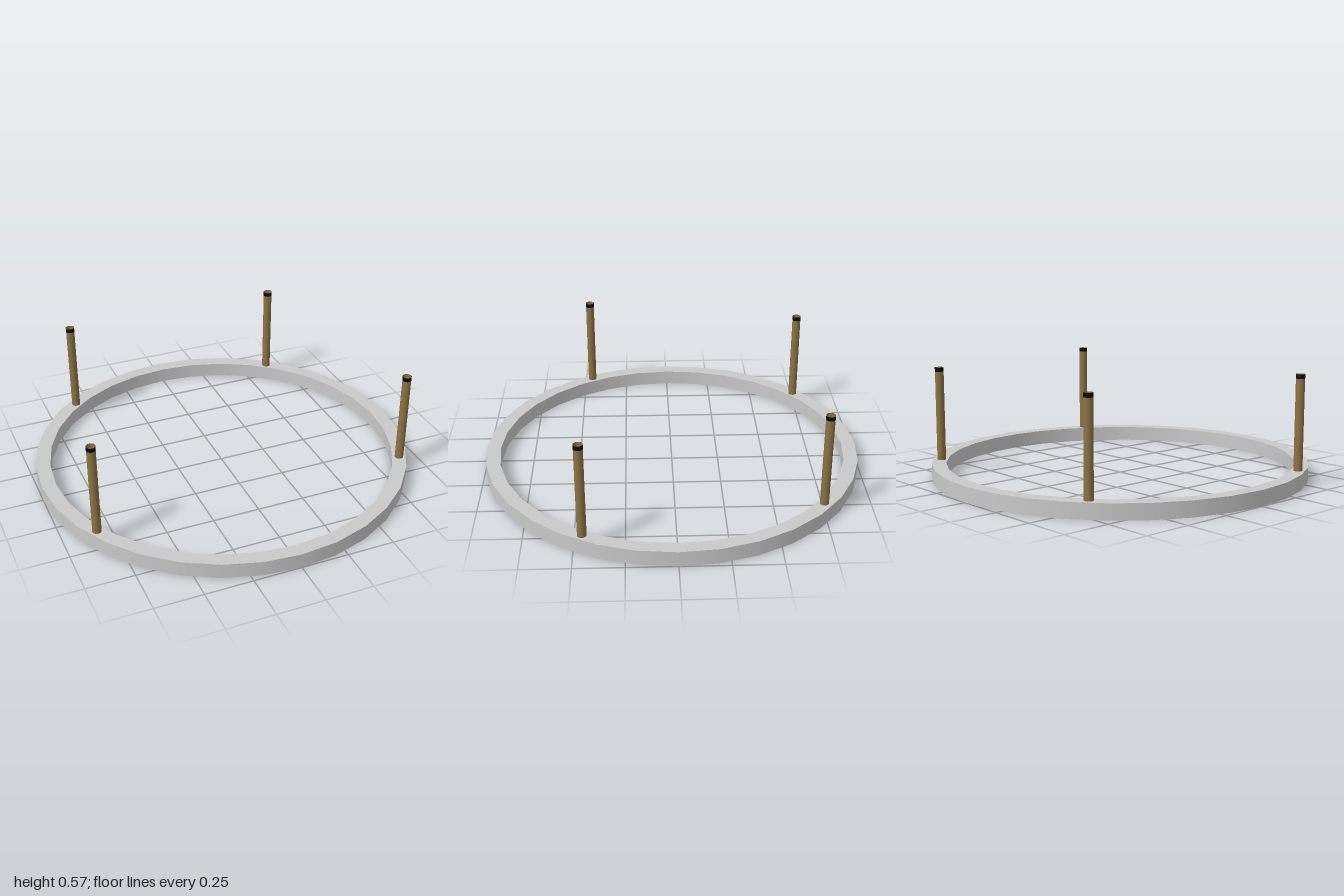
import * as THREE from 'three';
import { mergeGeometries } from 'three/addons/utils/BufferGeometryUtils.js';

const OUTER = 1, INNER = 0.925, RING_TOP = 0.08;
const POST_TOP = 0.575, POST_RADIUS = 0.023, TIP_HEIGHT = 0.022;

const ringMaterial = new THREE.MeshStandardMaterial({ name: 'light grey', color: 0xcacaca });
const postMaterial = new THREE.MeshStandardMaterial({ name: 'bronze brown', color: 0x8b7345, side: THREE.DoubleSide });
const tipMaterial = new THREE.MeshStandardMaterial({ name: 'black', color: 0x080808, side: THREE.DoubleSide });

// Ring of rectangular section: four smooth bands meeting at sharp edges
function ringGeometry() {
  const corners = [[OUTER, 0], [OUTER, RING_TOP], [INNER, RING_TOP], [INNER, 0]]
    .map(([r, y]) => new THREE.Vector2(r, y));
  return mergeGeometries(corners.map((corner, i) =>
    new THREE.LatheGeometry([corner, corners[(i + 1) % 4]], 32)));
}

// Open-ended upright tube between two heights
function tube(name, radius, bottom, top, material) {
  const geometry = new THREE.CylinderGeometry(radius, radius, top - bottom, 16, 1, true);
  const mesh = new THREE.Mesh(geometry, material);
  mesh.name = name;
  mesh.position.y = (bottom + top) / 2;
  return mesh;
}

// Hollow post with a dark band around its upper end
function post(name, x, z) {
  const group = new THREE.Group();
  group.name = name;
  group.position.set(x, 0, z);
  group.add(
    tube('postTube', POST_RADIUS, RING_TOP - 0.005, POST_TOP, postMaterial),
    tube('postTip', POST_RADIUS + 0.0005, POST_TOP - TIP_HEIGHT, POST_TOP, tipMaterial));
  return group;
}

export function createModel() {
  const model = new THREE.Group();
  model.name = 'ringWithPosts';

  const ring = new THREE.Mesh(ringGeometry(), ringMaterial);
  ring.name = 'baseRing';
  model.add(ring);

  // Two mirrored pairs of posts, the back pair closer together
  for (const [side, sign] of [['Left', 1], ['Right', -1]]) {
    model.add(post('front' + side + 'Post', sign * 0.845, 0.455));
    model.add(post('back' + side + 'Post', sign * 0.605, -0.738));
  }
  return model;
}
